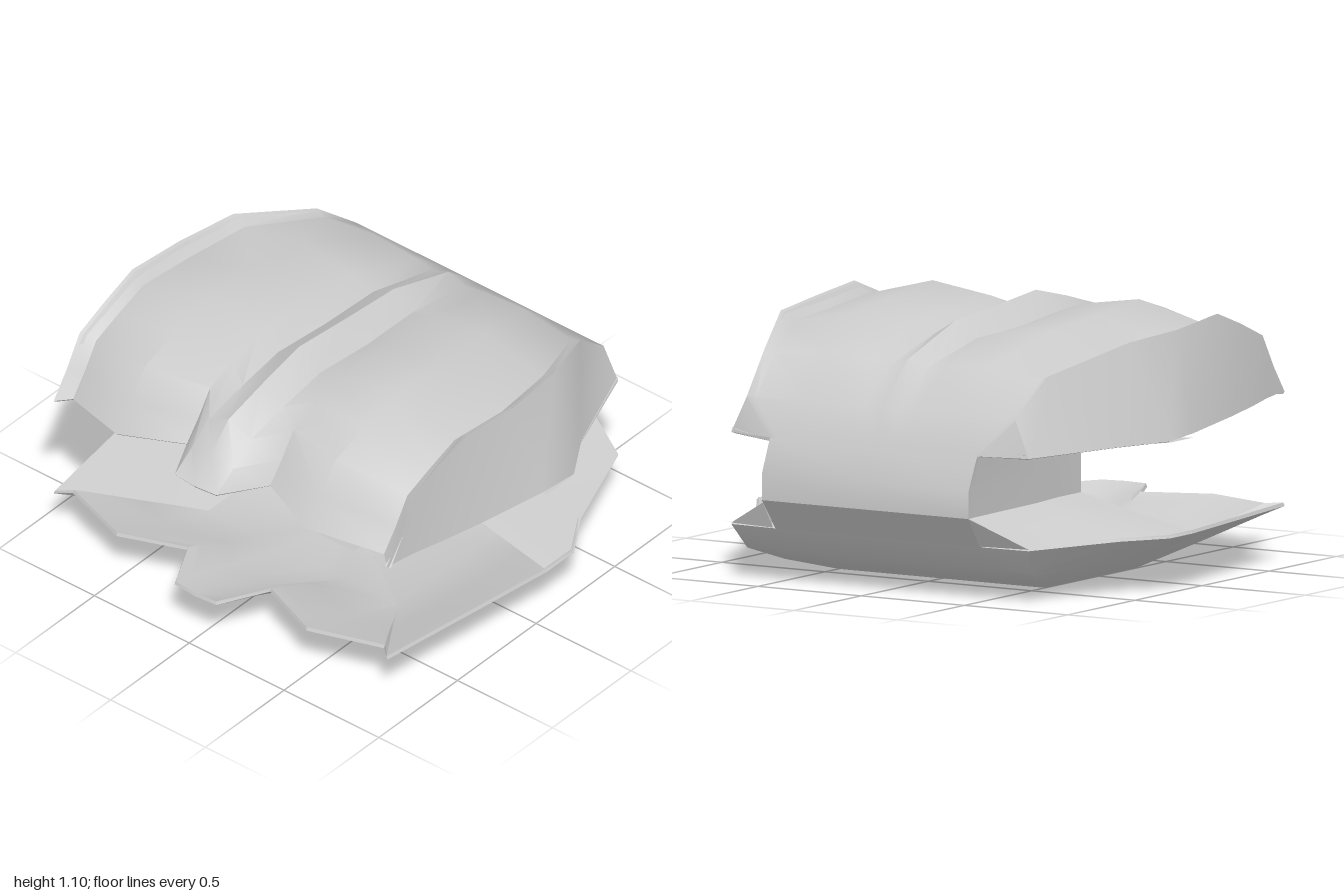
import * as THREE from 'three';
import { toCreasedNormals } from 'three/addons/utils/BufferGeometryUtils.js';

const material = new THREE.MeshStandardMaterial({ color: 0xcccccc, side: THREE.DoubleSide });
const v = (x, y, z) => new THREE.Vector3(x, y, z);

// Surface through a grid of points (rows of equal length)
function gridGeometry(rows) {
  const n = rows[0].length, index = [];
  for (let i = 0; i < rows.length - 1; i++) {
    for (let j = 0; j < n - 1; j++) {
      const a = i * n + j, b = a + 1, c = a + n, d = c + 1;
      index.push(a, b, c, b, d, c);
    }
  }
  const geo = new THREE.BufferGeometry().setFromPoints(rows.flat());
  geo.setIndex(index);
  geo.computeVertexNormals();
  return geo;
}

function surface(name, rows, crease = 0.65) {
  const mesh = new THREE.Mesh(toCreasedNormals(gridGeometry(rows), crease), material);
  mesh.name = name;
  return mesh;
}

// The same grid pushed inward along its normals
function inset(rows, t) {
  const normal = gridGeometry(rows).attributes.normal, n = rows[0].length;
  return rows.map((row, i) => row.map((p, j) =>
    p.clone().addScaledVector(v(0, 0, 0).fromBufferAttribute(normal, i * n + j), -t)));
}

// Outline of the right half of both shells, front to back: x, z
const outline = [[0, 0.97], [0.11, 0.96], [0.22, 0.75], [0.5, 0.86], [0.82, 0.75], [0.88, 0.8],
  [0.95, 0.3], [1, -0.07], [1, -0.24], [0.88, -0.43], [0.72, -0.86], [0.5, -0.87], [0, -0.87]];

function upperShell() {
  // Ribs: x, front z, rim height, crest height
  const ribs = [[0, 0.97, 0.78, 1.1], [0.11, 0.96, 0.78, 1.02], [0.22, 0.75, 0.76, 1.06],
    [0.5, 0.86, 0.74, 1.1], [0.82, 0.75, 0.7, 1.02], [0.88, 0.8, 0.69, 1.07]];
  // Front rows: z, rise from rim to crest
  const front = [[0.97, 0], [0.86, 0.3], [0.75, 0.66], [0.53, 0.84], [0.3, 1]];
  // Back rows: z, height, width factor, strength of ribs
  const back = [[0, 1.07, 1, 1], [-0.3, 1.045, 0.96, 0.8], [-0.65, 0.93, 0.79, 0.4],
    [-0.85, 0.75, 0.74, 0], [-0.91, 0.6, 0.568, 0]];
  // Lower edge of the side wall for each row
  const rim = [[0.88, 0.69, 0.8], [0.885, 0.69, 0.74], [0.9, 0.685, 0.64], [0.92, 0.67, 0.5],
    [0.95, 0.655, 0.3], [0.99, 0.63, -0.05], [1, 0.62, -0.24], [0.88, 0.61, -0.43],
    [0.72, 0.6, -0.86], [0.5, 0.6, -0.91]];
  const half = [
    ...front.map(([z, k]) => ribs.map(([x, f, r, h]) =>
      v(x, r + k * (h - r), 0.3 + (z - 0.3) * (f - 0.3) / 0.67))),
    ...back.map(([z, y, w, k]) => ribs.map(([x, , , h]) => v(x * w, y + k * (h - 1.1), z)))
  ];
  half.forEach((row, i) => row.push(v(...rim[i])));
  const rows = half.map(row => [
    ...row.slice(1).reverse().map(p => v(-p.x, p.y, p.z)), ...row]);
  const inner = inset(rows, 0.015);
  const group = new THREE.Group();
  group.name = 'upperShell';
  group.add(surface('upperShellOutside', rows), surface('upperShellInside', inner),
    surface('upperShellFrontLip', [inner[0], rows[0]]));
  for (const j of [0, rows[0].length - 1]) {
    group.add(surface('upperShellSideLip', [inner.map(r => r[j]), rows.map(r => r[j])]));
  }
  return group;
}

function lowerShell() {
  const loop = [...outline.slice(1, -1).reverse().map(([x, z]) => [-x, z]),
    ...outline];
  loop.unshift(loop[loop.length - 1]);
  // Rings from the flat base out to the rim: spread, height, height at back
  const rings = [[0, 0, 0], [0.5, 0.11, 0.06], [0.85, 0.19, 0.12], [1, 0.222, 0.222]];
  const rows = rings.map(([t, y, yb]) => loop.map(([x, z]) => {
    const bx = THREE.MathUtils.clamp(x, -0.5, 0.5), bz = THREE.MathUtils.clamp(z, -0.4, 0.28);
    return v(bx + (x - bx) * t, z < -0.8 ? yb : y, bz + (z - bz) * t);
  }));
  rows.unshift(loop.map(() => v(0, 0, -0.06)));
  const inner = inset(rows, 0.015);
  const group = new THREE.Group();
  group.name = 'lowerShell';
  group.add(surface('lowerShellOutside', rows), surface('lowerShellInside', inner),
    surface('lowerShellLip', [rows[rows.length - 1], inner[inner.length - 1]]));
  return group;
}

// Rounded back joining the shells
function hinge() {
  const profile = [[-0.91, 0.6], [-0.97, 0.46], [-0.97, 0.35], [-0.87, 0.222]];
  return surface('hinge', profile.map(([z, y]) => [-0.5, 0, 0.5].map(x => v(x, y, z))));
}

// Channel-shaped wall between the shells beside the hinge
function sideWall(s) {
  // Stations back to front: rim x, rim z, wall x, wall z at top and middle
  const stations = [[0.5, -0.89, 0.5, -0.91, -0.97], [0.72, -0.86, 0.495, -0.88, -0.93],
    [0.88, -0.43, 0.48, -0.43, -0.43], [1, -0.24, 0.46, -0.24, -0.24],
    [1, -0.07, 0.46, -0.07, -0.07]];
  if (s < 0) stations.reverse();
  const row = f => stations.map(a => { const p = f(...a); p.x *= s; return p; });
  const rows = [
    row((rx, rz) => v(rx, 0.615, rz)),
    row((rx, rz, wx, wz) => v(wx, 0.59, wz)),
    row((rx, rz, wx, wz, wm) => v(wx, 0.46, wm)),
    row((rx, rz, wx, wz, wm) => v(wx, 0.35, wm)),
    row((rx, rz) => v(rx, 0.228, rz))
  ];
  return surface(s > 0 ? 'leftSideWall' : 'rightSideWall', rows);
}

export function createModel() {
  const model = new THREE.Group();
  model.name = 'clam';
  model.add(upperShell(), lowerShell(), hinge(), sideWall(1), sideWall(-1));

  const pearl = new THREE.Mesh(new THREE.SphereGeometry(0.27, 32, 24), material);
  pearl.name = 'pearl';
  pearl.position.set(0, 0.39, -0.02);

  // Four-sided foot under the pearl
  const foot = new THREE.Mesh(
    toCreasedNormals(new THREE.CylinderGeometry(0.08, 0.19, 0.16, 4).rotateY(Math.PI / 4), 0.5), material);
  foot.name = 'pearlFoot';
  foot.position.set(0, 0.09, -0.02);

  model.add(pearl, foot);
  return model;
}
